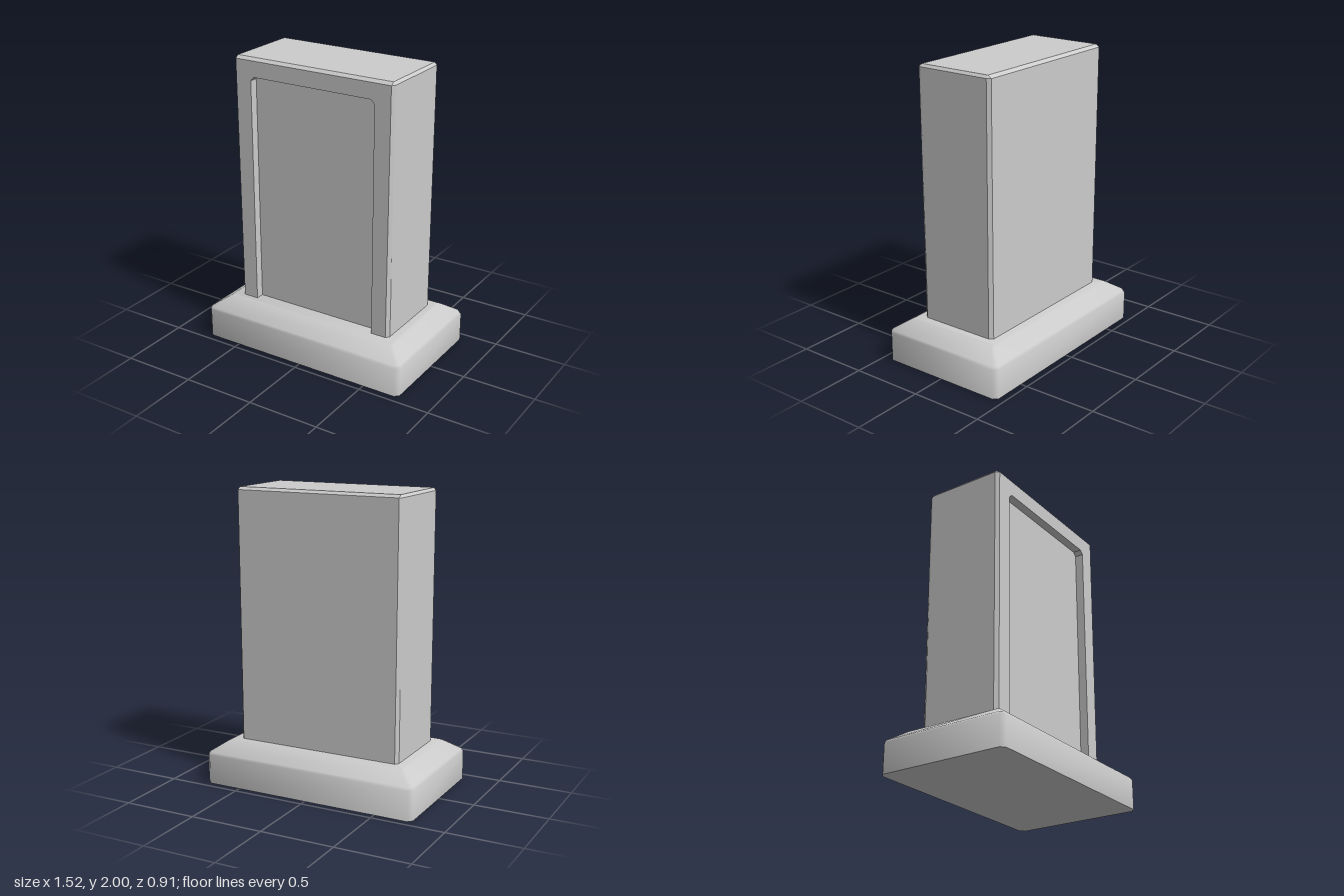
import * as THREE from 'three';
import { toCreasedNormals } from 'three/addons/utils/BufferGeometryUtils.js';

// Joins matching counter-clockwise loops, given as { z, points }, and caps both ends.
function loft(loops, crease) {
  const rings = loops.map(({ z, points }) => points.map(([x, y]) => new THREE.Vector3(x, y, z)));
  const positions = [];
  const tri = (a, b, c) => {
    if (new THREE.Triangle(a, b, c).getArea() < 1e-8) return;
    for (const v of [a, b, c]) positions.push(v.x, v.y, v.z);
  };
  for (let r = 0; r < rings.length - 1; r++) {
    const a = rings[r], b = rings[r + 1];
    a.forEach((p, i) => {
      const j = (i + 1) % a.length;
      tri(p, a[j], b[j]);
      tri(p, b[j], b[i]);
    });
  }
  const first = rings[0], last = rings[rings.length - 1];
  for (let i = 1; i < first.length - 1; i++) {
    tri(first[0], first[i + 1], first[i]);
    tri(last[0], last[i], last[i + 1]);
  }
  const geometry = new THREE.BufferGeometry();
  geometry.setAttribute('position', new THREE.Float32BufferAttribute(positions, 3));
  return toCreasedNormals(geometry, crease);
}

// Rectangle with all four corners cut, for the plan of the base.
const plan = (w, d, c) => [
  [w, -d + c], [w, d - c], [w - c, d], [-w + c, d],
  [-w, d - c], [-w, -d + c], [-w + c, -d], [w - c, -d],
];

// Upright panel outline with its two top corners cut; it starts inside the base.
const panel = (wBottom, wTop, top, cx, cy) => [
  [wBottom, 0.2], [wTop, top - cy], [wTop - cx, top],
  [-wTop + cx, top], [-wTop, top - cy], [-wBottom, 0.2],
];

export function createModel() {
  const group = new THREE.Group();
  const material = new THREE.MeshStandardMaterial({ color: 0xcccccc });
  const add = (name, geometry) => {
    const mesh = new THREE.Mesh(geometry, material);
    mesh.name = name;
    group.add(mesh);
  };

  // Plinth: straight sides, a soft shoulder and a sloped top edge
  const base = loft([
    { z: 0, points: plan(0.758, 0.453, 0.028) },
    { z: 0.2, points: plan(0.758, 0.453, 0.028) },
    { z: 0.218, points: plan(0.748, 0.443, 0.026) },
    { z: 0.285, points: plan(0.65, 0.345, 0.012) },
    { z: 0.295, points: plan(0.63, 0.325, 0.01) },
  ], 1.2);
  base.rotateX(-Math.PI / 2);
  add('base', base);

  // Slab: bevelled edges, with a shallow recess let into the front
  const full = panel(0.583, 0.587, 2, 0.016, 0.018);
  const inset = panel(0.563, 0.571, 1.982, 0, 0);
  const recess = panel(0.457, 0.457, 1.875, 0.025, 0.025);
  add('slab', loft([
    { z: -0.283, points: inset },
    { z: -0.258, points: full },
    { z: 0.258, points: full },
    { z: 0.283, points: inset },
    { z: 0.283, points: recess },
    { z: 0.225, points: recess },
  ], 0.3));

  return group;
}
